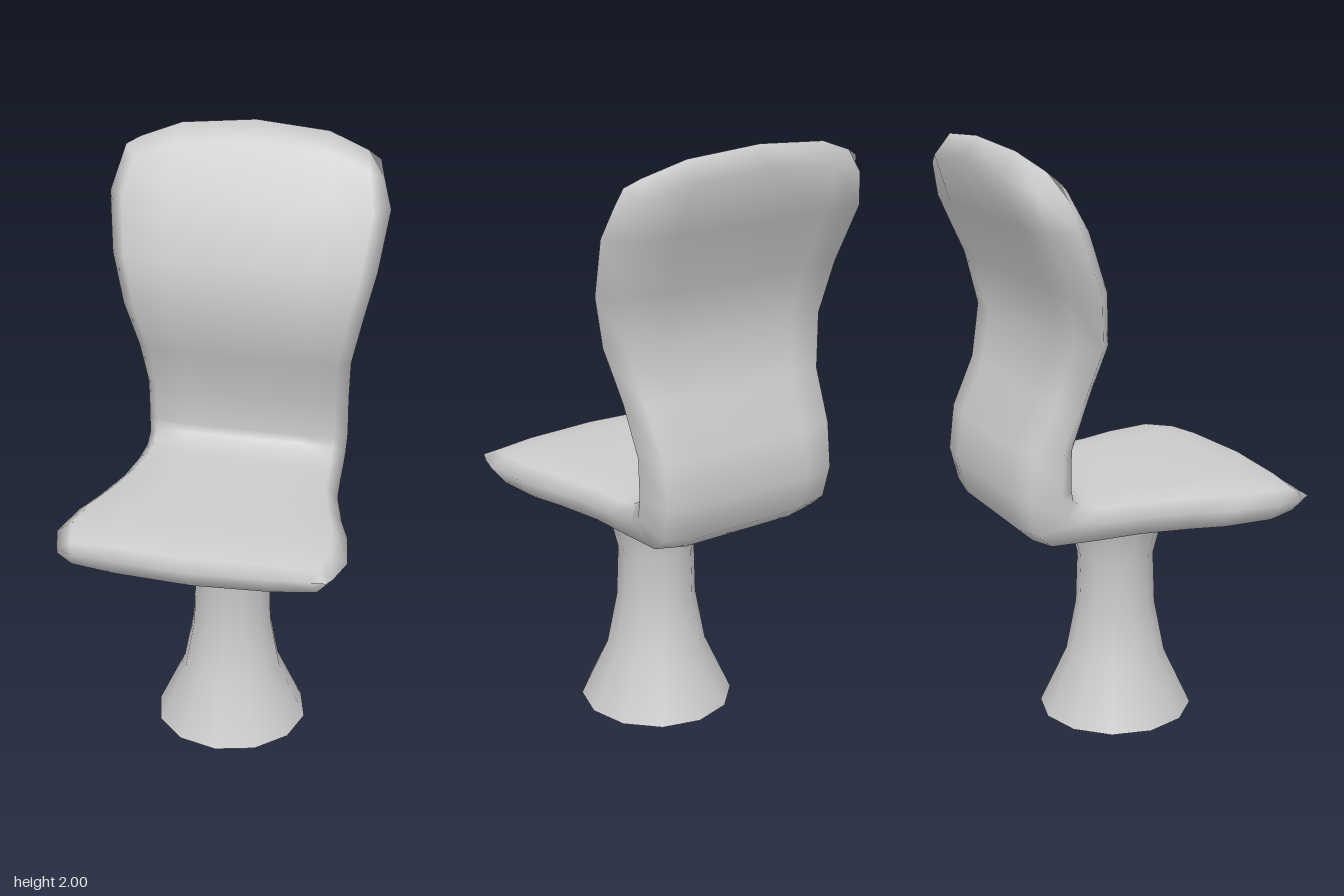
import * as THREE from 'three';
import { mergeVertices } from 'three/addons/utils/BufferGeometryUtils.js';

// Stations from the seat's front lip to the top of the back:
// [upper z, upper y, under z, under y, half width, corner setback]
const STATIONS = [
  [0.52, 0.83, 0.52, 0.83, 0.43, 0.035],
  [0.48, 0.86, 0.48, 0.765, 0.445, 0.035],
  [0.35, 0.878, 0.35, 0.755, 0.475, 0],
  [0.19, 0.88, 0.19, 0.75, 0.45, 0],
  [0.08, 0.88, 0.08, 0.75, 0.413, 0],
  [-0.08, 0.88, -0.08, 0.75, 0.373, 0],
  [-0.21, 0.88, -0.24, 0.75, 0.36, 0],
  [-0.26, 0.895, -0.40, 0.755, 0.355, 0],
  [-0.295, 0.915, -0.45, 0.80, 0.355, 0],
  [-0.30, 0.945, -0.48, 0.92, 0.358, 0],
  [-0.30, 1.07, -0.46, 1.07, 0.358, 0],
  [-0.25, 1.23, -0.38, 1.23, 0.37, 0],
  [-0.20, 1.40, -0.34, 1.40, 0.41, 0],
  [-0.22, 1.57, -0.37, 1.57, 0.45, 0],
  [-0.29, 1.76, -0.45, 1.76, 0.475, 0],
  [-0.40, 1.945, -0.52, 1.935, 0.447, 0.09],
  [-0.47, 2.0, -0.47, 2.0, 0.43, 0.09],
];

// Rounded cross-section: [across, 0 = underside .. 1 = upper side]
const SECTION = [
  [-1, 0.62], [-0.89, 0.9], [-0.58, 1], [0, 1], [0.58, 1], [0.89, 0.9],
  [1, 0.62], [0.89, 0.1], [0.58, 0], [0, 0], [-0.58, 0], [-0.89, 0.1],
];

function shellGeometry() {
  const positions = [], indices = [], n = SECTION.length;
  STATIONS.forEach(([fz, fy, bz, by, w, setback], i) => {
    const lip = i < 2;
    for (const [u, t] of SECTION) {
      // the two ends are bowed, so their corners are set back
      const s = setback * Math.pow(Math.abs(u), lip ? 1.1 : 2.8);
      const y = THREE.MathUtils.lerp(by, fy, t) - (lip ? 0 : s);
      const z = THREE.MathUtils.lerp(bz, fz, t) + (lip ? -s : s * 0.75);
      positions.push(u * w, y, z);
    }
  });
  for (let i = 0; i < STATIONS.length - 1; i++) {
    for (let j = 0; j < n; j++) {
      const k = (j + 1) % n;
      const a = i * n + j, b = i * n + k, c = a + n, d = b + n;
      indices.push(a, b, c, b, d, c);
    }
  }
  const geometry = new THREE.BufferGeometry();
  geometry.setAttribute('position', new THREE.Float32BufferAttribute(positions, 3));
  geometry.setIndex(indices);
  const merged = mergeVertices(geometry, 1e-4);
  merged.computeVertexNormals();
  return merged;
}

export function createModel() {
  const group = new THREE.Group();
  const material = new THREE.MeshStandardMaterial({ color: 0xcccccc, side: THREE.DoubleSide });

  // One continuous moulded seat and back
  const shell = new THREE.Mesh(shellGeometry(), material);
  shell.name = 'seatAndBack';
  group.add(shell);

  // Hollow flared pedestal, open at the floor
  const profile = [
    [0.262, 0], [0.17, 0.2], [0.136, 0.38], [0.13, 0.56],
    [0.158, 0.67], [0.175, 0.72], [0.205, 0.755],
  ].map(([r, y]) => new THREE.Vector2(r, y));
  const pedestal = new THREE.Mesh(new THREE.LatheGeometry(profile, 12), material);
  pedestal.name = 'pedestal';
  pedestal.position.set(0.032, 0, 0.018);
  group.add(pedestal);

  return group;
}
